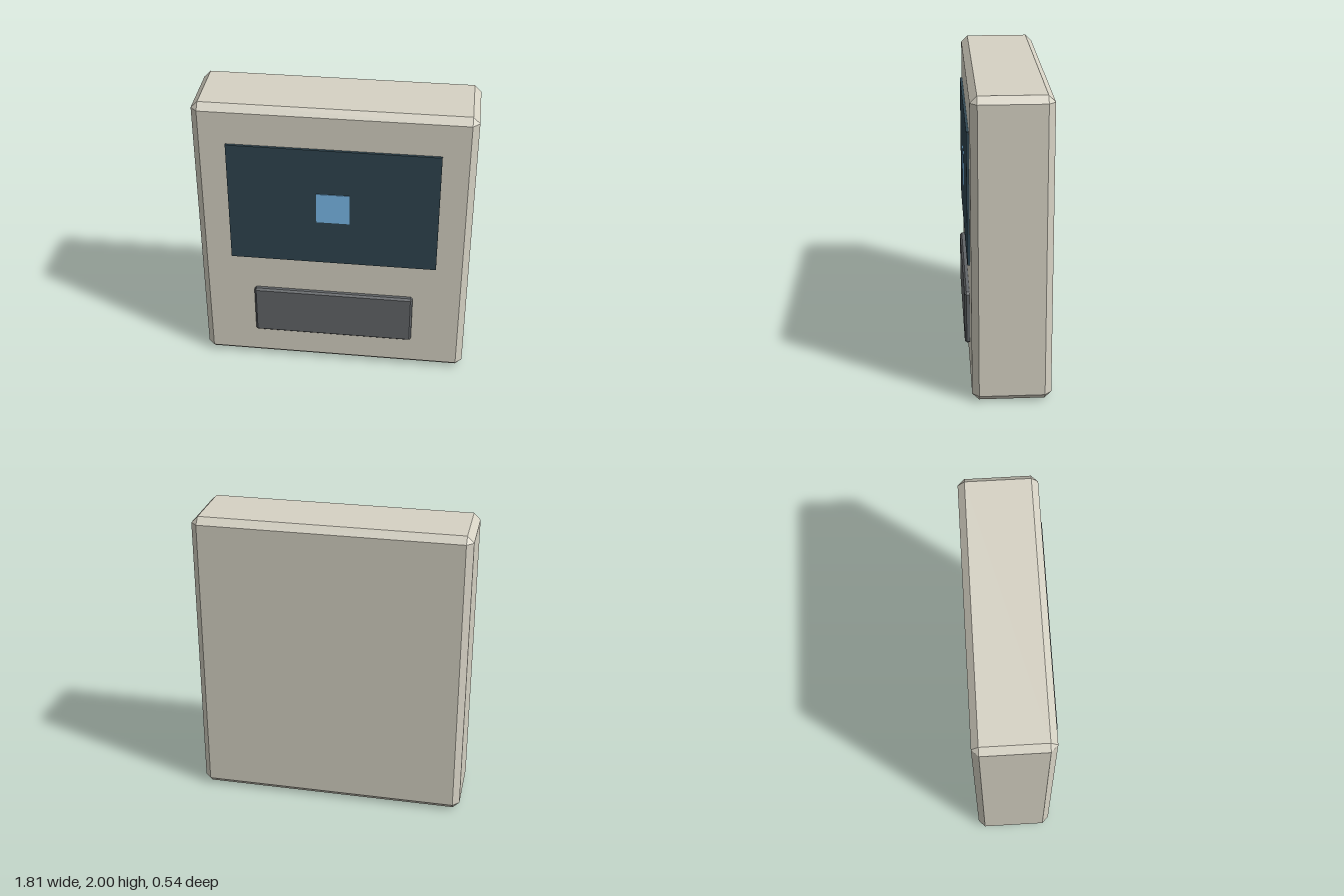
import * as THREE from 'three';
import { ConvexGeometry } from 'three/addons/geometries/ConvexGeometry.js';

// Box with flat 45-degree chamfers and triangular corners, centred on the origin
function chamferBox(w, h, d, c) {
  const points = [];
  for (const x of [-w / 2, w / 2])
    for (const y of [-h / 2, h / 2])
      for (const z of [-d / 2, d / 2]) {
        const ix = x - Math.sign(x) * c;
        const iy = y - Math.sign(y) * c;
        const iz = z - Math.sign(z) * c;
        points.push(
          new THREE.Vector3(x, iy, iz),
          new THREE.Vector3(ix, y, iz),
          new THREE.Vector3(ix, iy, z)
        );
      }
  return new ConvexGeometry(points);
}

export function createModel() {
  const group = new THREE.Group();

  function add(name, geometry, color, y, z) {
    const mesh = new THREE.Mesh(
      geometry,
      new THREE.MeshStandardMaterial({ color, flatShading: true })
    );
    mesh.name = name;
    mesh.position.set(0, y, z);
    group.add(mesh);
  }

  // Chamfered wall housing
  add('housing', chamferBox(1.814, 2, 0.508, 0.044), 0xd6d2c4, 1, -0.017);

  // Display panel with a square icon in the middle
  add('screen', new THREE.BoxGeometry(1.38, 0.872, 0.036), 0x2f4550, 1.295, 0.236);
  add('screenIcon', new THREE.BoxGeometry(0.218, 0.218, 0.02), 0x7bbbec, 1.295, 0.249);

  // Raised keypad below the display
  add('keypad', chamferBox(1.088, 0.362, 0.072, 0.013), 0x626568, 0.422, 0.235);

  return group;
}
